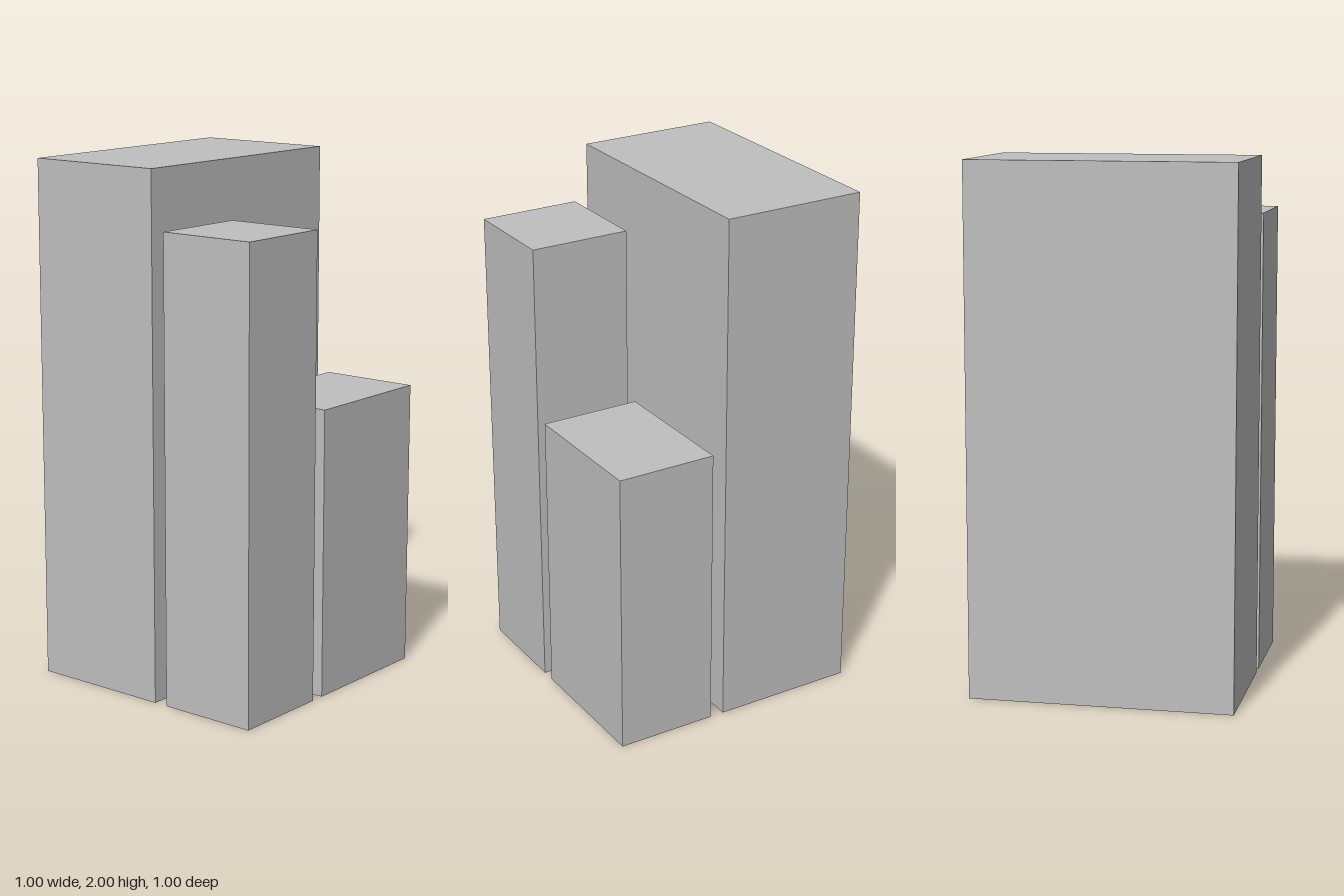
import * as THREE from 'three';

// Box block given by its x and z extents, standing on y = 0
function block(name, x0, x1, z0, z1, height, material) {
  const geometry = new THREE.BoxGeometry(x1 - x0, height, z1 - z0);
  const mesh = new THREE.Mesh(geometry, material);
  mesh.name = name;
  mesh.position.set((x0 + x1) / 2, height / 2, (z0 + z1) / 2);
  return mesh;
}

export function createModel() {
  const group = new THREE.Group();
  group.name = 'towerCluster';

  const grey = new THREE.MeshStandardMaterial({ color: 0xbfbfbf });
  grey.name = 'light grey';

  // Three towers separated by narrow alleys
  group.add(
    block('mainTower', -0.5, 0.055, -0.5, 0.5, 2, grey),
    block('slimFrontTower', 0.11, 0.5, 0.11, 0.5, 1.78, grey),
    block('lowBackTower', 0.11, 0.5, -0.5, 0.055, 1.11, grey),
  );
  return group;
}
